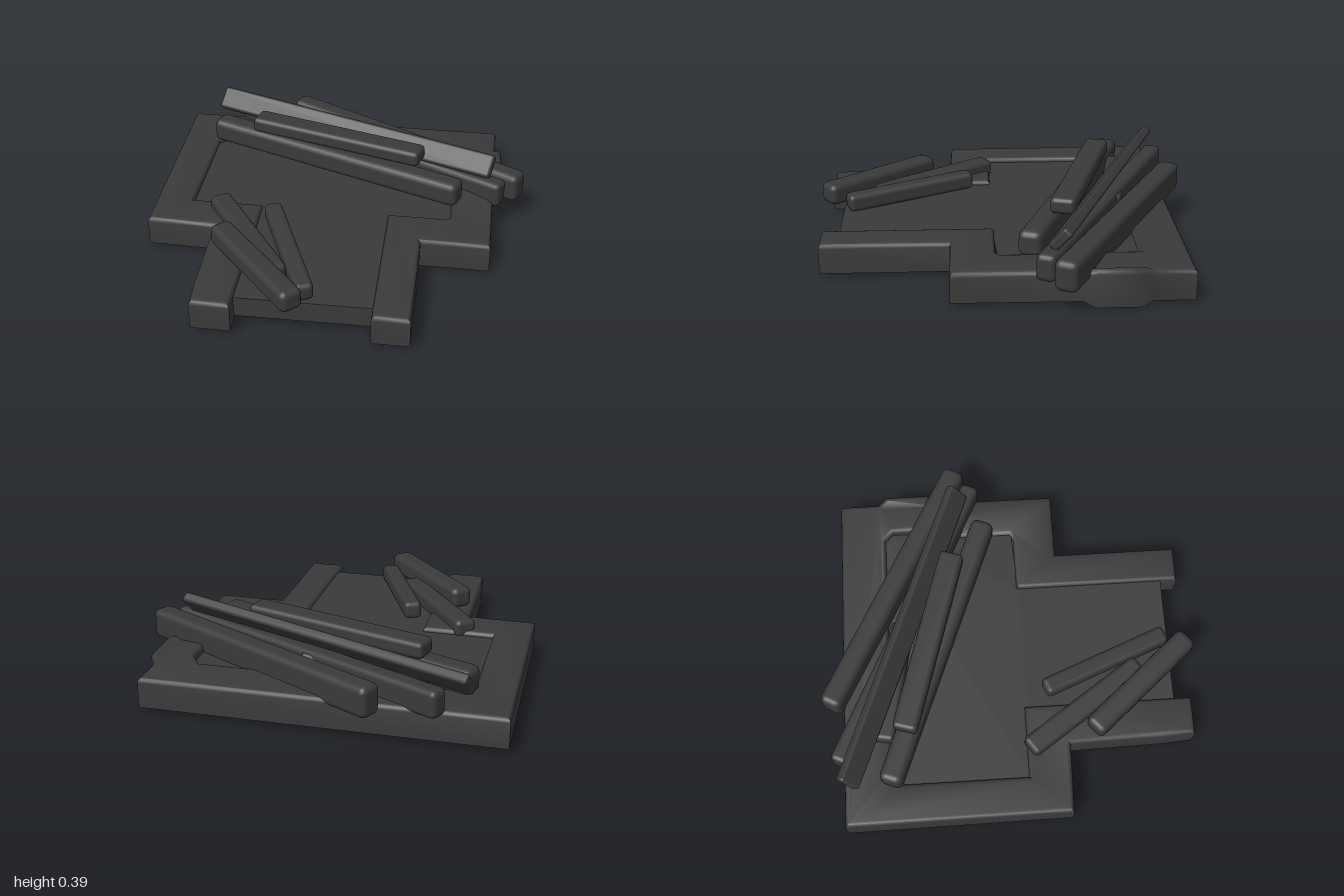
import * as THREE from 'three';
import { RoundedBoxGeometry } from 'three/addons/geometries/RoundedBoxGeometry.js';
import { toCreasedNormals } from 'three/addons/utils/BufferGeometryUtils.js';

const charred = new THREE.MeshStandardMaterial({ color: 0x3a3a3a });
const shell = charred.clone();
shell.side = THREE.DoubleSide;

// Plan outline given as [x, z] pairs
const plan = (pts) => new THREE.Shape(pts.map(([x, z]) => new THREE.Vector2(x, -z)));

function add(group, name, geometry, material = charred) {
  const mesh = new THREE.Mesh(geometry, material);
  mesh.name = name;
  group.add(mesh);
  return mesh;
}

// Removes every triangle lying wholly at or below a height, leaving the underside open
function openBelow(geometry, height) {
  const src = geometry.attributes.position.array, kept = [];
  for (let i = 0; i < src.length; i += 9) {
    if (Math.max(src[i + 1], src[i + 4], src[i + 7]) > height) kept.push(...src.subarray(i, i + 9));
  }
  const open = new THREE.BufferGeometry();
  open.setAttribute('position', new THREE.Float32BufferAttribute(kept, 3));
  return open;
}

// Squared beam with soft edges running between two end points
function beam(group, name, from, to, width, height, roll = 0) {
  const a = new THREE.Vector3(...from), b = new THREE.Vector3(...to);
  const radius = Math.min(width, height) * 0.28;
  const mesh = add(group, name, new RoundedBoxGeometry(width, height, a.distanceTo(b), 2, radius));
  mesh.position.copy(a).add(b).multiplyScalar(0.5);
  mesh.lookAt(b);
  mesh.rotateZ(roll);
}

export function createModel() {
  const model = new THREE.Group();
  model.name = 'ruinedFoundation';

  // Foundation wall: hollow ring with a gap at the front and a bulge on the +x side
  const ring = new THREE.ExtrudeGeometry(plan([
    [-0.61, 0.96], [-0.41, 0.96], [-0.41, 0.07], [-0.79, 0.07], [-0.79, -0.58], [-0.72, -0.64],
    [0.6, -0.64], [0.64, -0.6], [0.64, -0.38], [0.6, -0.32], [0.6, 0.05], [0.57, 0.07],
    [0.27, 0.07], [0.27, 0.96], [0.46, 0.96], [0.46, 0.3], [0.82, 0.3], [0.825, -0.34],
    [0.865, -0.4], [0.865, -0.63], [0.83, -0.68], [0.83, -0.89],
    [-1, -0.89], [-0.99, 0.29], [-0.63, 0.3], [-0.62, 0.8],
  ]), {
    depth: 0.135, bevelEnabled: true, bevelThickness: 0.025, bevelSize: 0.025,
    bevelOffset: -0.025, bevelSegments: 3,
  });
  ring.rotateX(-Math.PI / 2).translate(0, 0.022, 0);
  const wall = openBelow(ring, 0.0225);
  // The wall settles towards +x; the bulge stands taller and reaches the ground
  const p = wall.attributes.position;
  for (let i = 0; i < p.count; i++) {
    const x = p.getX(i), y = p.getY(i), z = p.getZ(i);
    const bulge = z > -0.65 && z < -0.36;
    let lift = 0;
    if (bulge && x > 0.62 && y > 0.1) lift = 0.023;
    if (bulge && x > 0.8 && y < 0.1) lift = -0.016;
    p.setY(i, y - 0.007 * x + lift);
  }
  add(model, 'foundationWall', toCreasedNormals(wall, 0.8), shell);

  // Thin floor across the ring, with a skirt in the front gap
  const floor = new THREE.ShapeGeometry(plan([
    [-0.42, 0.87], [0.28, 0.87], [0.28, 0.08], [0.62, 0.06], [0.66, -0.66],
    [-0.81, -0.66], [-0.81, 0.09], [-0.42, 0.09],
  ]));
  floor.rotateX(-Math.PI / 2).translate(0, 0.16, 0);
  add(model, 'floor', floor, shell);
  const skirt = add(model, 'floorSkirt', new THREE.PlaneGeometry(0.69, 0.11), shell);
  skirt.position.set(-0.07, 0.105, 0.87);

  // Fallen beams across the back
  const back = new THREE.Group();
  back.name = 'backBeams';
  beam(back, 'rearBeam', [-0.37, 0.225, -0.955], [0.97, 0.21, -0.235], 0.12, 0.16);
  beam(back, 'lowBeam', [-0.68, 0.23, -0.91], [0.87, 0.21, -0.15], 0.1, 0.14);
  beam(back, 'leaningPlank', [-0.81, 0.32, -0.86], [0.81, 0.33, -0.225], 0.13, 0.055, 0.85);
  beam(back, 'frontBeam', [-0.8, 0.24, -0.65], [0.64, 0.235, -0.09], 0.125, 0.135);
  beam(back, 'upperBeam', [-0.55, 0.345, -0.56], [0.42, 0.345, -0.27], 0.13, 0.085);
  beam(back, 'buriedBeam', [-0.57, 0.23, -0.68], [0.07, 0.23, -0.56], 0.12, 0.09);
  model.add(back);

  // Three short beams by the entrance
  const front = new THREE.Group();
  front.name = 'entranceBeams';
  beam(front, 'leftBeam', [-0.645, 0.195, 0.08], [-0.22, 0.185, 0.7], 0.115, 0.095);
  beam(front, 'rightBeam', [-0.335, 0.23, 0.18], [-0.06, 0.2, 0.85], 0.095, 0.095);
  beam(front, 'crossingBeam', [-0.57, 0.235, 0.42], [-0.1, 0.235, 0.965], 0.12, 0.115);
  model.add(front);

  return model;
}
